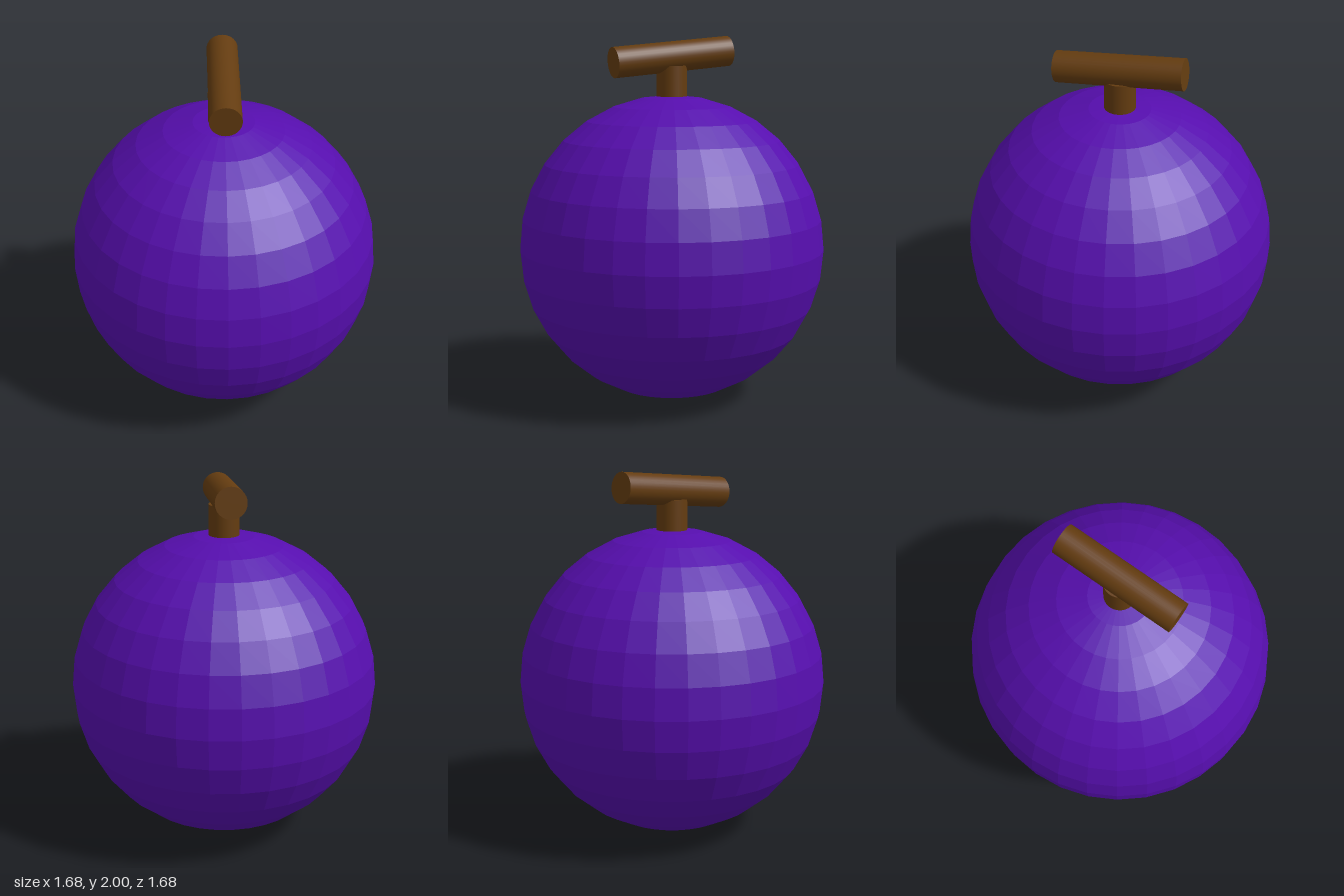
import * as THREE from 'three';

export function createModel() {
  const purple = new THREE.MeshStandardMaterial({ color: 0x560eae, flatShading: true });
  purple.name = 'purple skin';
  const brown = new THREE.MeshStandardMaterial({ color: 0x643c10 });
  brown.name = 'brown wood';

  const group = new THREE.Group();
  const add = (name, geometry, material, y) => {
    const mesh = new THREE.Mesh(geometry, material);
    mesh.name = name;
    mesh.position.y = y;
    group.add(mesh);
    return mesh;
  };

  // Faceted round body
  add('body', new THREE.SphereGeometry(0.84, 32, 16), purple, 0.842);

  // Upright stem, running down into the body
  add('stem', new THREE.CylinderGeometry(0.083, 0.083, 0.24, 32), brown, 1.72);

  // Crossbar along z, raised slightly toward the back
  const bar = add('crossbar', new THREE.CylinderGeometry(0.083, 0.083, 0.685, 32), brown, 1.888);
  bar.rotation.x = Math.PI / 2 + THREE.MathUtils.degToRad(5);

  return group;
}
